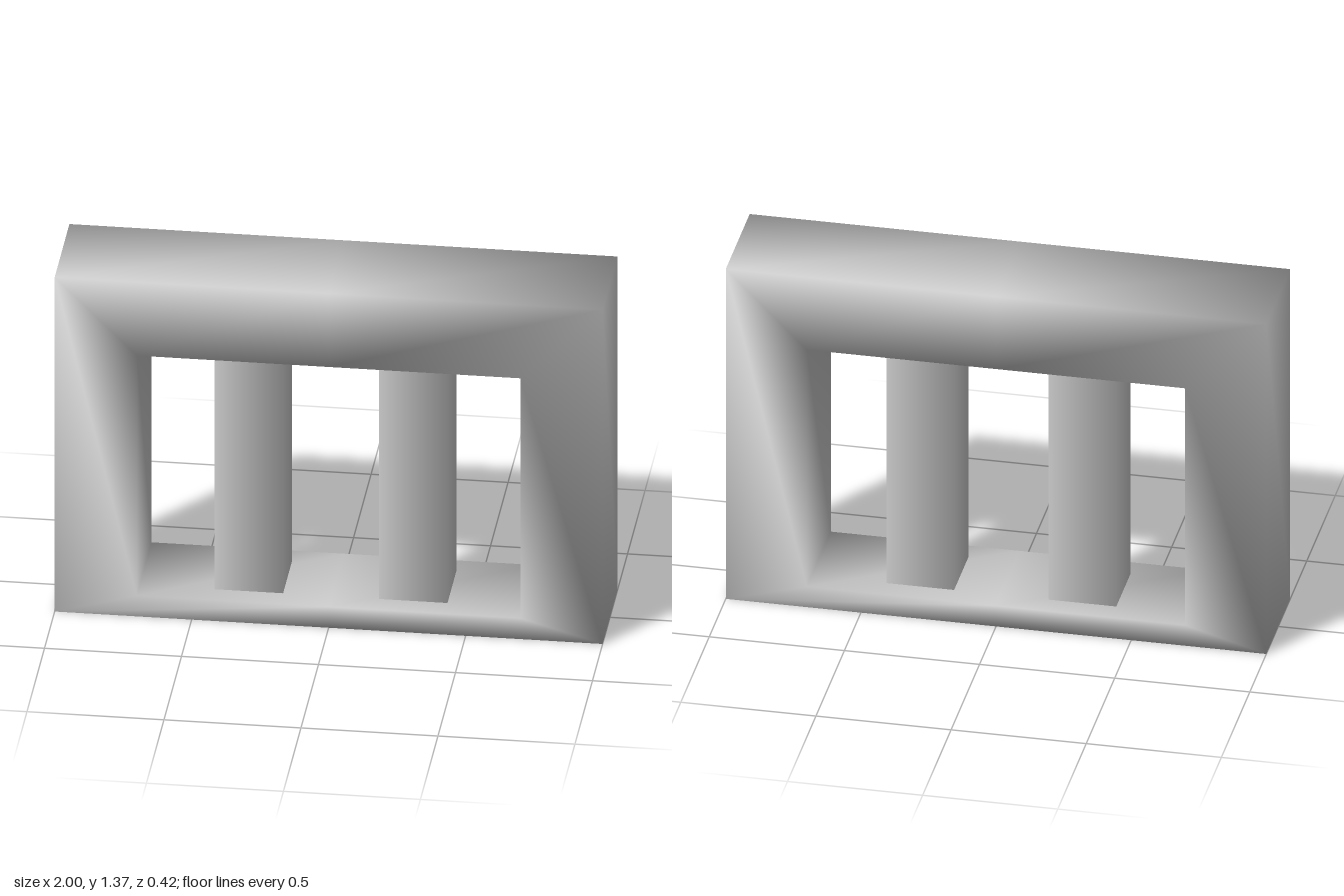
import * as THREE from 'three';

const DEPTH = 0.21; // half depth of the frame
const material = new THREE.MeshStandardMaterial({ color: 0xcccccc });

// Closed rectangular frame: a four-cornered section swept round the opening,
// sharing its vertices so the shading runs softly over the edges
function frameGeometry() {
  // outer x, outer y, inner x, inner y, counter-clockwise from the front
  const stations = [
    [-1, 0, -0.7, 0.085], [0, 0, 0, 0.085], [1, 0, 0.7, 0.085],
    [1, 1.365, 0.7, 1.065], [0, 1.365, 0, 1.065], [-1, 1.365, -0.7, 1.065],
  ];
  const positions = [], index = [];
  const n = stations.length;
  stations.forEach(([ox, oy, ix, iy], i) => {
    positions.push(ox, oy, DEPTH, ix, iy, DEPTH, ix, iy, -DEPTH, ox, oy, -DEPTH);
    const j = (i + 1) % n;
    for (let k = 0; k < 4; k++) {
      const l = (k + 1) % 4;
      const a = i * 4 + k, b = j * 4 + k, c = j * 4 + l, d = i * 4 + l;
      index.push(a, b, c, a, c, d);
    }
  });
  const geometry = new THREE.BufferGeometry();
  geometry.setAttribute('position', new THREE.Float32BufferAttribute(positions, 3));
  geometry.setIndex(index);
  geometry.computeVertexNormals();
  return geometry;
}

export function createModel() {
  const model = new THREE.Group();
  model.name = 'barredWindow';

  const frame = new THREE.Mesh(frameGeometry(), material);
  frame.name = 'frame';
  model.add(frame);

  // Two square upright bars, open where they meet the frame
  const height = 1.065 - 0.085;
  const barGeometry = new THREE.CylinderGeometry(0.125 * Math.SQRT2, 0.125 * Math.SQRT2, height, 4, 1, true);
  barGeometry.rotateY(Math.PI / 4);
  for (const [name, x] of [['rightBar', -0.302], ['leftBar', 0.298]]) {
    const bar = new THREE.Mesh(barGeometry, material);
    bar.name = name;
    bar.position.set(x, 0.085 + height / 2, 0);
    model.add(bar);
  }
  return model;
}
